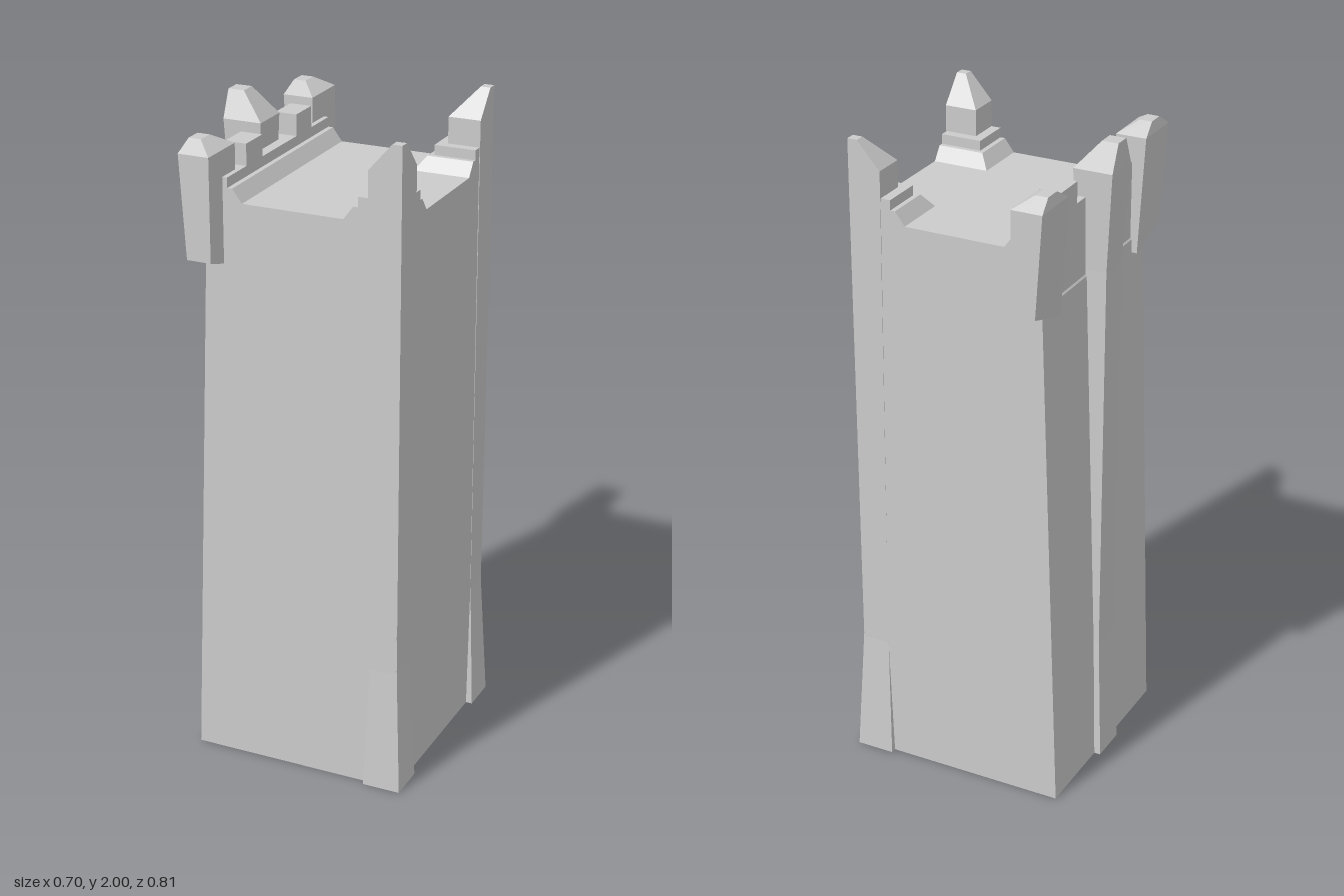
import * as THREE from 'three';

const material = new THREE.MeshStandardMaterial({
  color: 0xcccccc, flatShading: true, side: THREE.DoubleSide,
});

// Four-sided solid through stacked rings, bottom to top.
// Ring: [x0, x1, z0, z1, y at z0, optional y at z1]
function loft(name, rings, closedBottom = false) {
  const pos = [];
  const corners = rings.map(([x0, x1, z0, z1, y0, y1 = y0]) => [
    [x0, y0, z0], [x1, y0, z0], [x1, y1, z1], [x0, y1, z1],
  ]);
  const quad = (a, b, c, d) => pos.push(...a, ...b, ...c, ...a, ...c, ...d);
  for (let k = 0; k < corners.length - 1; k++) {
    const lo = corners[k], up = corners[k + 1];
    for (let i = 0; i < 4; i++) {
      const j = (i + 1) % 4;
      quad(lo[j], lo[i], up[i], up[j]);
    }
  }
  const [a, b, c, d] = corners[corners.length - 1];
  quad(a, d, c, b);
  if (closedBottom) quad(...corners[0]);
  const geometry = new THREE.BufferGeometry();
  geometry.setAttribute('position', new THREE.Float32BufferAttribute(pos, 3));
  geometry.computeVertexNormals();
  const mesh = new THREE.Mesh(geometry, material);
  mesh.name = name;
  return mesh;
}

// Same rings reflected to the other side of z = 0
const mirrorZ = (rings) =>
  rings.map(([x0, x1, z0, z1, y0, y1 = y0]) => [x0, x1, -z1, -z0, y1, y0]);

export function createModel() {
  const tower = new THREE.Group();
  tower.name = 'tower';
  const W = 0.328;
  const pair = (name, rings, closed) => tower.add(
    loft(name + 'Front', rings, closed),
    loft(name + 'Back', mirrorZ(rings), closed),
  );

  // Hollow shaft, one face leaning inward up to a small ledge
  tower.add(loft('shaft', [
    [-0.33, W, -0.33, 0.33, 0],
    [-0.272, W, -W, W, 1.6],
    [-0.268, W, -W, W, 1.605],
    [-0.268, W, -W, W, 1.77],
  ]));

  // Corner posts with flared feet and pointed caps
  pair('cornerPost', [
    [0.23, 0.348, 0.23, 0.348, 0],
    [0.243, 0.329, 0.243, 0.329, 0.4],
    [0.23, 0.33, 0.23, 0.33, 1.84],
    [0.23, 0.33, 0.23, 0.33, 1.92],
    [0.3, 0.33, 0.3, 0.33, 2],
  ]);

  // Stepped plinths around the corner posts
  pair('cornerPlinth', [
    [0.155, W, 0.155, W, 1.77],
    [0.185, W, 0.185, W, 1.81],
  ]);
  pair('cornerStep', [
    [0.2, W, 0.2, W, 1.81],
    [0.2, W, 0.2, W, 1.84],
  ]);

  // Parapet: sloped foot, wall and merlons
  tower.add(
    loft('parapetFoot', [
      [-0.268, -0.155, -W, W, 1.77],
      [-0.268, -0.185, -W, W, 1.81],
    ]),
    loft('parapetWall', [
      [-0.268, -0.2, -W, W, 1.81],
      [-0.268, -0.2, -W, W, 1.84],
    ]),
  );
  pair('merlon', [
    [-0.268, -0.2, 0.11, 0.21, 1.84],
    [-0.268, -0.2, 0.11, 0.21, 1.905],
  ]);

  // Central buttress rising into a pointed cap
  tower.add(loft('buttress', [
    [-0.35, -0.23, -0.06, 0.06, 0],
    [-0.333, -0.24, -0.05, 0.05, 0.4],
    [-0.333, -0.24, -0.05, 0.05, 1.62],
    [-0.35, -0.23, -0.06, 0.06, 1.92],
    [-0.35, -0.3, -0.025, 0.025, 2],
  ]));

  // Overhanging corner turrets with slanted undersides
  pair('hangingTurret', [
    [-0.29, -0.215, 0.25, 0.407, 1.56, 1.61],
    [-0.31, -0.215, 0.25, 0.407, 1.917],
    [-0.302, -0.264, 0.305, 0.357, 1.95],
  ], true);

  return tower;
}
